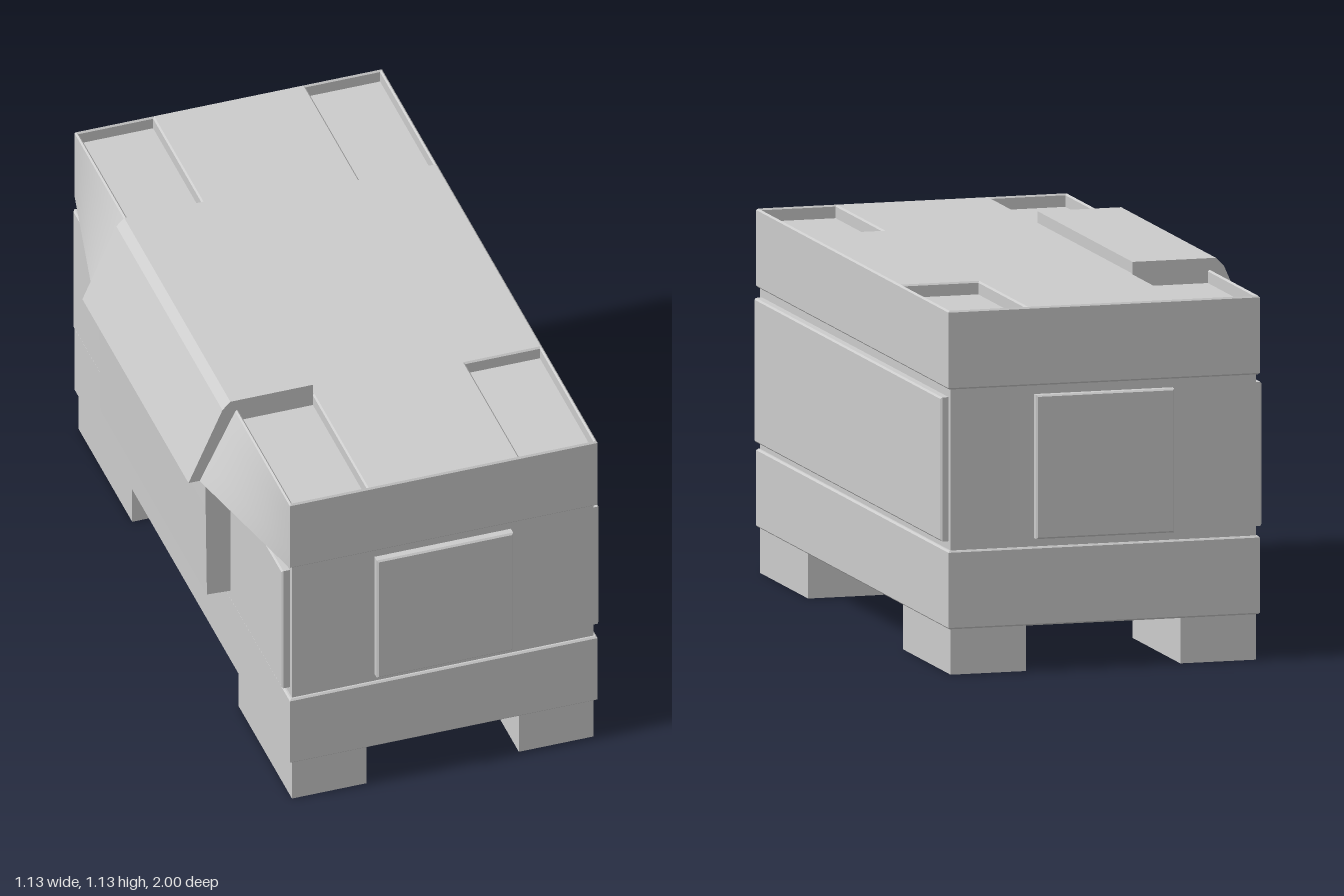
import * as THREE from 'three';

const CX = 0.065;      // centre line of the crate in x
const BEVEL = 0.005;

function rect(x0, x1, y0, y1, Type = THREE.Shape) {
  return new Type([
    new THREE.Vector2(x0, y0), new THREE.Vector2(x1, y0),
    new THREE.Vector2(x1, y1), new THREE.Vector2(x0, y1),
  ]);
}

// Extrusion with chamfered rims, from 0 to depth along z
function bevelExtrude(shape, depth) {
  const geo = new THREE.ExtrudeGeometry(shape, {
    depth: depth - 2 * BEVEL, bevelEnabled: true, bevelSegments: 1,
    bevelSize: BEVEL, bevelThickness: BEVEL, bevelOffset: -BEVEL,
  });
  return geo.translate(0, 0, BEVEL);
}

export function createModel() {
  const model = new THREE.Group();
  const grey = new THREE.MeshStandardMaterial({ color: 0xcccccc });

  const add = (name, geo) => {
    const mesh = new THREE.Mesh(geo, grey);
    mesh.name = name;
    model.add(mesh);
    return mesh;
  };
  const box = (name, x0, x1, y0, y1, z0, z1) =>
    add(name, new THREE.BoxGeometry(x1 - x0, y1 - y0, z1 - z0)
      .translate((x0 + x1) / 2, (y0 + y1) / 2, (z0 + z1) / 2));
  // Horizontal slab from a plan shape
  const slab = (name, shape, y0, y1) =>
    add(name, bevelExtrude(shape, y1 - y0).rotateX(-Math.PI / 2).translate(0, y0, 0));

  // Feet and the matching stacking recesses in the lid
  const corners = [];
  for (const [x0, x1] of [[-0.41, -0.175], [0.305, 0.54]])
    for (const [z0, z1] of [[-0.975, -0.485], [0.485, 0.975]])
      corners.push([x0, x1, z0, z1]);
  for (const [x0, x1, z0, z1] of corners) box('foot', x0, x1, 0, 0.145, z0, z1);

  // Crate: base, body and lid
  const plan = () => rect(-0.42, 0.55, -0.985, 0.985);
  slab('base', plan(), 0.138, 0.375);
  box('body', -0.41, 0.54, 0.36, 0.88, -0.975, 0.975);
  slab('lid', plan(), 0.862, 1.06);
  const top = plan();
  for (const c of corners) top.holes.push(rect(...c, THREE.Path));
  slab('lidTop', top, 1.05, 1.1);

  // Raised panels, each pair running through the body
  add('endPanels', bevelExtrude(rect(CX - 0.215, CX + 0.215, 0.4, 0.835), 2)
    .translate(0, 0, -1));
  add('sidePanels', bevelExtrude(rect(-0.955, 0.955, 0.4, 0.835), 1)
    .rotateY(Math.PI / 2).translate(CX - 0.5, 0, 0));

  // Latch cover folded over the lid edge
  const cover = new THREE.Shape([
    [-0.175, 1.09], [-0.175, 1.135], [-0.435, 1.135], [-0.46, 1.11],
    [-0.567, 0.865], [-0.41, 0.865], [-0.41, 1.09],
  ].map(([x, y]) => new THREE.Vector2(x, y)));
  add('latchCover', new THREE.ExtrudeGeometry(cover, { depth: 0.97, bevelEnabled: false })
    .translate(0, 0, -0.485));

  // Latch plate below the cover
  const plate = new THREE.Shape([
    [-0.41, 0.432], [-0.41, 0.87], [-0.513, 0.87], [-0.513, 0.76], [-0.509, 0.437],
  ].map(([x, y]) => new THREE.Vector2(x, y)));
  add('latchPlate', new THREE.ExtrudeGeometry(plate, { depth: 0.97, bevelEnabled: false })
    .translate(0, 0, -0.485));

  // Twisted fairings blending the lid corners into the latch cover
  for (const s of [-1, 1]) {
    const rows = 4, cols = 8, pos = [], idx = [];
    for (let j = 0; j <= rows; j++)
      for (let i = 0; i <= cols; i++) {
        const u = i / cols, v = j / rows;
        pos.push(-0.42 - 0.112 * u * (1 - v), 0.864 + 0.231 * v, s * (0.985 - 0.5 * u));
      }
    for (let j = 0; j < rows; j++)
      for (let i = 0; i < cols; i++) {
        const a = j * (cols + 1) + i, b = a + 1, c = a + cols + 1, d = c + 1;
        if (s > 0) idx.push(a, c, b, b, c, d);
        else idx.push(a, b, c, b, d, c);
      }
    const skin = new THREE.BufferGeometry();
    skin.setAttribute('position', new THREE.Float32BufferAttribute(pos, 3));
    skin.setIndex(idx);
    skin.computeVertexNormals();
    add('fairing', skin);

    // Underside of the fairing
    const under = new THREE.BufferGeometry();
    under.setAttribute('position', new THREE.Float32BufferAttribute([
      -0.42, 0.864, s * 0.985, -0.532, 0.864, s * 0.485, -0.42, 0.864, s * 0.485], 3));
    under.setIndex(s > 0 ? [0, 1, 2] : [0, 2, 1]);
    under.computeVertexNormals();
    add('fairingUnderside', under);
  }
  return model;
}
